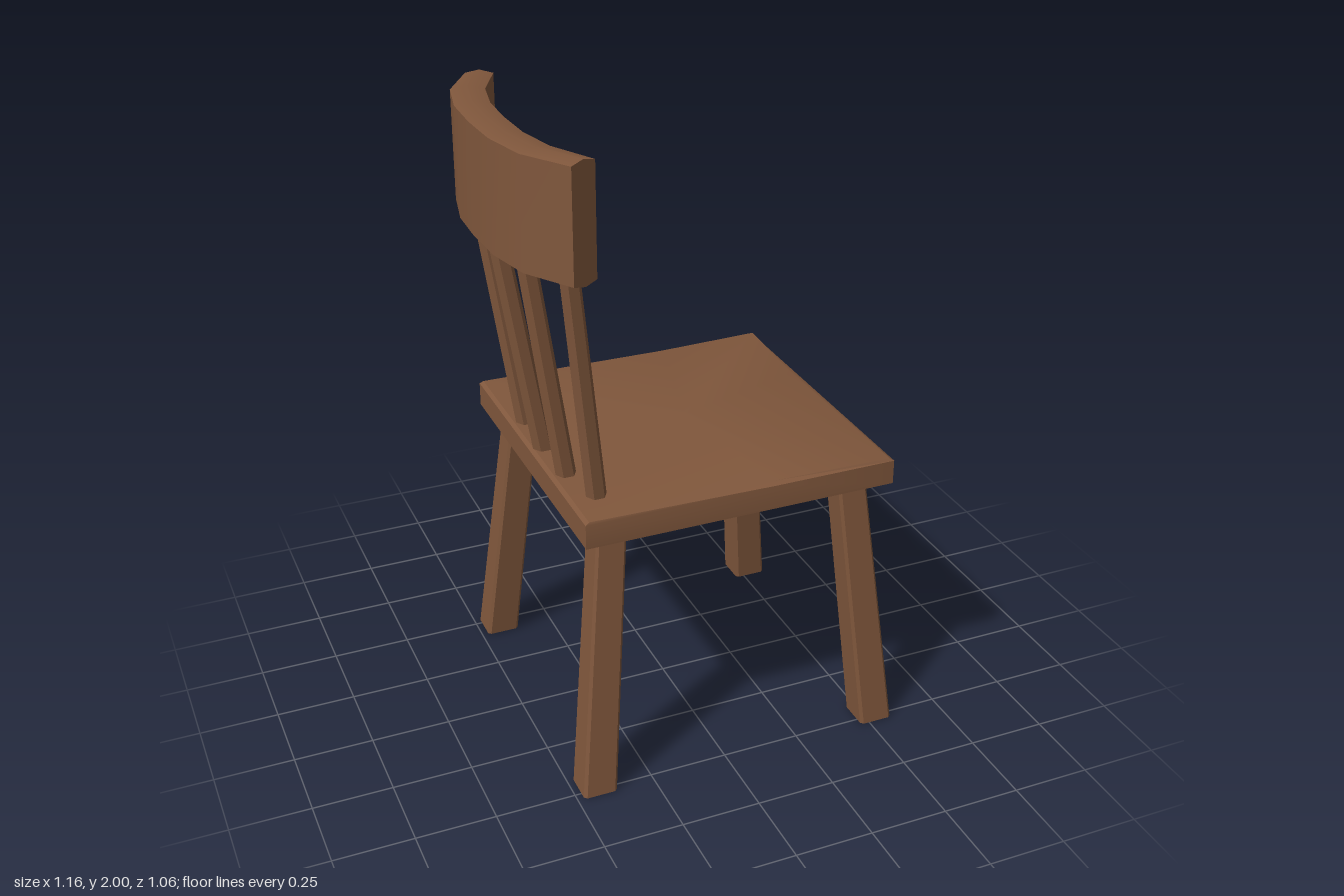
import * as THREE from 'three';
import { toCreasedNormals } from 'three/addons/utils/BufferGeometryUtils.js';

const wood = new THREE.MeshStandardMaterial({ color: 0x80573c });
wood.name = 'brown wood';

// Skins a stack of equal-sized point rings and closes both ends.
function loft(name, rings) {
  const n = rings[0].length, pos = [];
  const tri = (...pts) => pts.forEach((p) => pos.push(...p));
  const centre = (r) => [0, 1, 2].map((k) => r.reduce((s, p) => s + p[k], 0) / n);
  const last = rings[rings.length - 1];
  const c0 = centre(rings[0]), c1 = centre(last);
  for (let i = 0; i < n; i++) {
    const j = (i + 1) % n;
    for (let k = 0; k < rings.length - 1; k++) {
      const a = rings[k], b = rings[k + 1];
      tri(a[i], b[i], b[j]);
      tri(a[i], b[j], a[j]);
    }
    tri(c0, rings[0][i], rings[0][j]);
    tri(c1, last[j], last[i]);
  }
  const geo = new THREE.BufferGeometry();
  geo.setAttribute('position', new THREE.Float32BufferAttribute(pos, 3));
  const mesh = new THREE.Mesh(toCreasedNormals(geo, 0.5), wood);
  mesh.name = name;
  return mesh;
}

// Square section with small chamfers, h = half width
function chamferedSquare(x, y, z, h, c) {
  const k = h - c;
  return [[h, -k], [h, k], [k, h], [-k, h], [-h, k], [-h, -k], [-k, -h], [k, -h]]
    .map(([dx, dz]) => [x + dx, y, z + dz]);
}

function hexagon(x, y, z, r) {
  return Array.from({ length: 6 }, (_, i) => {
    const a = (i * Math.PI) / 3;
    return [x + r * Math.cos(a), y, z + r * Math.sin(a)];
  });
}

export function createModel() {
  const chair = new THREE.Group();
  chair.name = 'chair';

  // Seat slab with a slightly worn top edge
  const outline = [[0.545, -0.49], [0.545, 0], [0.545, 0.498], [0.15, 0.498],
    [-0.445, 0.498], [-0.445, 0], [-0.445, -0.49], [0.2, -0.49]];
  const worn = [[0.542, -0.487], [0.525, -0.15], [0.532, 0.492], [0.15, 0.481],
    [-0.433, 0.494], [-0.433, 0], [-0.433, -0.485], [0.2, -0.474]];
  const level = (pts, y) => pts.map(([x, z]) => [x, y, z]);
  chair.add(loft('seat', [level(outline, 0.86), level(outline, 0.937), level(worn, 0.945)]));

  // Four splayed legs
  for (const [name, footX, topX] of [['frontLeg', 0.525, 0.44], ['backLeg', -0.425, -0.34]]) {
    for (const side of [1, -1]) {
      chair.add(loft(name, [
        chamferedSquare(footX, 0, side * 0.475, 0.054, 0.009),
        chamferedSquare(topX, 0.87, side * 0.388, 0.047, 0.008),
      ]));
    }
  }

  // Five spindles leaning back and fanning out: [bottom x, bottom z, top x, top z]
  for (const [x0, z0, x1, z1] of [
    [-0.358, 0.355, -0.44, 0.4], [-0.395, 0.2, -0.503, 0.217], [-0.403, 0.02, -0.523, 0.02],
    [-0.395, -0.165, -0.503, -0.18], [-0.358, -0.325, -0.44, -0.36],
  ]) {
    chair.add(loft('spindle', [hexagon(x0, 0.94, z0, 0.032), hexagon(x1, 1.67, z1, 0.03)]));
  }

  // Curved top rail, sections running across the back: [outer x, outer z, inner x, inner z]
  const half = [[-0.453, 0.459, -0.375, 0.426], [-0.544, 0.311, -0.447, 0.28], [-0.578, 0.155, -0.475, 0.143]];
  const arc = [
    ...half.map(([ox, oz, ix, iz]) => [ox, -oz, ix, -iz]),
    [-0.584, 0, -0.48, 0],
    ...half.slice().reverse(),
  ];
  chair.add(loft('topRail', arc.map(([ox, oz, ix, iz]) => {
    const at = (t, y) => [ox + (ix - ox) * t, y, oz + (iz - oz) * t + 0.015];
    return [at(0, 1.655), at(0, 1.99), at(0.5, 2), at(1, 1.99), at(1, 1.655), at(0.5, 1.645)];
  })));

  return chair;
}
